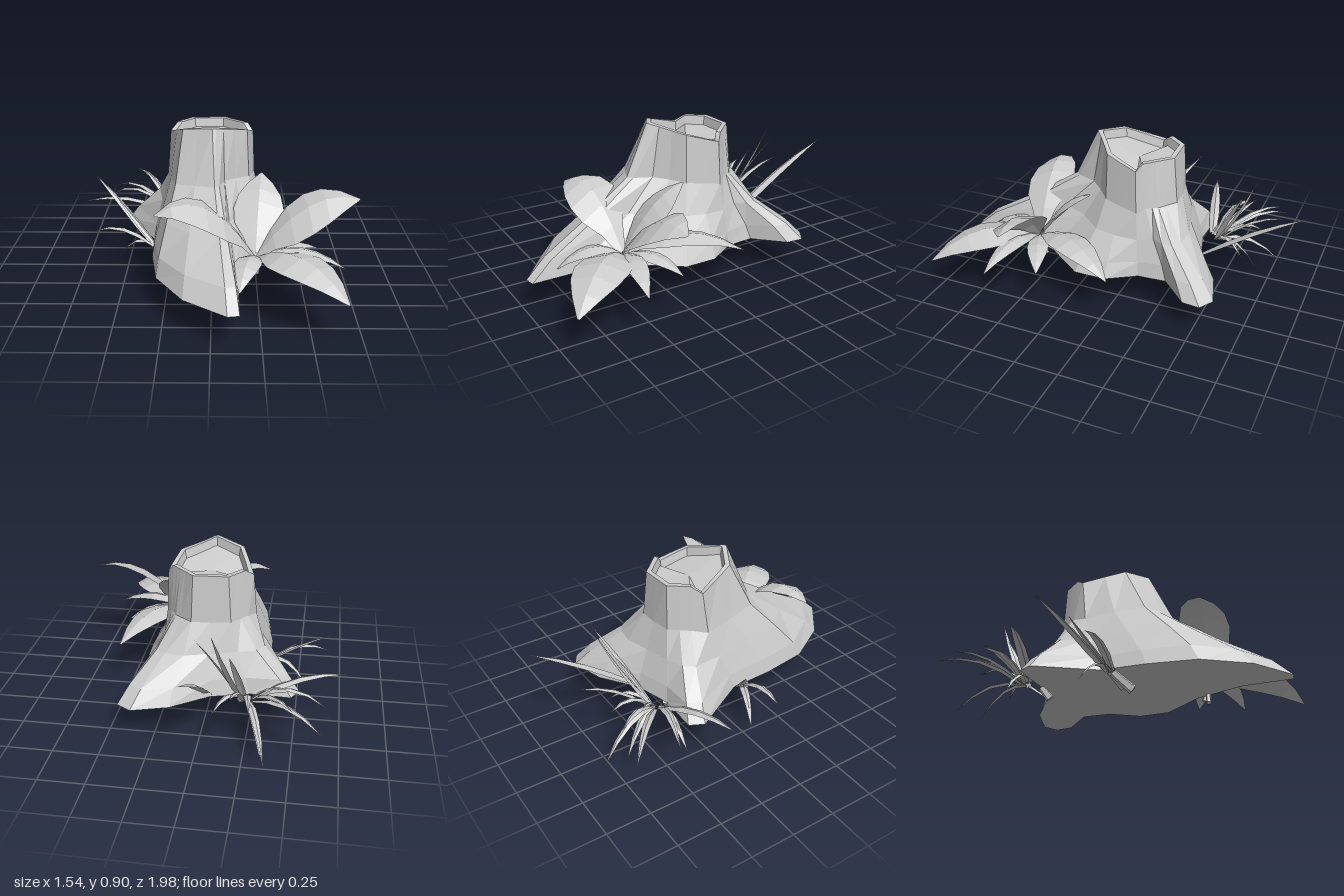
import * as THREE from 'three';

const material = new THREE.MeshStandardMaterial({ color: 0xcccccc, flatShading: true, side: THREE.DoubleSide });
const GROUND = 0.19;

function makeMesh(name, positions, indices) {
  const g = new THREE.BufferGeometry();
  g.setAttribute('position', new THREE.Float32BufferAttribute(positions, 3));
  g.setIndex(indices);
  g.computeVertexNormals();
  const mesh = new THREE.Mesh(g, material);
  mesh.name = name;
  return mesh;
}

// Side columns of the trunk, from the front root round by +x:
// ground x, z, rim x, z, and how quickly the slope pulls in to the trunk
const columns = [
  [0.14, 0.98, 0.02, 0.21, 3.0], [0.14, 0.70, 0.06, 0.175, 3.8], [0.23, 0.42, 0.12, 0.13, 4.0],
  [0.39, 0.20, 0.19, 0.08, 4.4], [0.39, 0.02, 0.21, 0.00, 4.2], [0.29, -0.14, 0.23, -0.10, 2.8],
  [0.28, -0.30, 0.20, -0.13, 3.4], [0.43, -0.45, 0.17, -0.16, 4.2], [0.44, -0.55, 0.15, -0.18, 4.0],
  [0.36, -0.60, 0.12, -0.21, 4.2], [0.16, -0.54, 0.07, -0.26, 4.0], [-0.04, -0.40, -0.02, -0.255, 2.8],
  [-0.25, -0.34, -0.12, -0.25, 3.4], [-0.48, -0.35, -0.16, -0.20, 4.3], [-0.52, -0.27, -0.20, -0.15, 4.3],
  [-0.34, 0.05, -0.24, -0.10, 2.8], [-0.33, 0.30, -0.20, 0.02, 2.2], [-0.29, 0.57, -0.16, 0.13, 2.0],
  [-0.14, 0.82, -0.08, 0.175, 2.5], [0.08, 0.99, 0.00, 0.22, 2.8],
];
const rimHeight = z => (z < -0.11 ? 0.84 : 0.8 + 0.3 * Math.max(0, z + 0.1));

function createStump() {
  const stump = new THREE.Group();
  stump.name = 'stump';
  const n = columns.length;
  const pos = [], idx = [];
  // Outer rings: steep at the ground, sweeping in over the roots, upright at the rim
  for (const u of [0, 0.14, 0.35, 0.6, 1]) {
    for (const [bx, bz, tx, tz, p] of columns) {
      const f = Math.pow(1 - Math.pow(u, 1.5), p);
      pos.push(tx + (bx - tx) * f, GROUND + (rimHeight(tz) - GROUND) * u, tz + (bz - tz) * f);
    }
  }
  // Rim thickness and the shallow hollow inside
  for (const [scale, drop] of [[0.88, 0], [0.84, 0.05]]) {
    for (const [, , tx, tz] of columns) {
      pos.push(tx * scale, rimHeight(tz) - drop, -0.03 + (tz + 0.03) * scale);
    }
  }
  const rings = pos.length / 3 / n;
  for (let r = 0; r < rings - 1; r++) {
    for (let i = 0; i < n; i++) {
      const a = r * n + i, b = r * n + (i + 1) % n;
      idx.push(a, b, b + n, a, b + n, a + n);
    }
  }
  const centre = pos.length / 3;
  pos.push(0, 0.78, -0.03);
  for (let i = 0; i < n; i++) idx.push((rings - 1) * n + i, (rings - 1) * n + (i + 1) % n, centre);
  stump.add(makeMesh('trunkAndRoots', pos, idx));

  // Flat underside
  const outline = new THREE.Shape(columns.map(c => new THREE.Vector2(c[0], c[1])));
  const underside = new THREE.Mesh(new THREE.ShapeGeometry(outline).rotateX(Math.PI / 2), material);
  underside.position.y = GROUND;
  underside.name = 'underside';
  stump.add(underside);
  return stump;
}

// Arched ribbon folded along its midrib; profile gives the relative width at each
// station, roll tips the ribbon sideways
function blade(name, base, tip, arch, width, profile, fold, roll = 0) {
  const a = new THREE.Vector3(...base), c = new THREE.Vector3(...tip);
  const b = a.clone().lerp(c, 0.5).add(new THREE.Vector3(0, arch, 0));
  const curve = new THREE.QuadraticBezierCurve3(a, b, c);
  const side = new THREE.Vector3(-(c.z - a.z), 0, c.x - a.x).normalize();
  const pos = [], idx = [];
  profile.forEach((w, i) => {
    const p = curve.getPoint(i / (profile.length - 1));
    const half = w * width / 2;
    for (const s of [-1, 0, 1]) {
      pos.push(p.x + side.x * half * s, p.y + half * (s * roll - Math.abs(s) * fold), p.z + side.z * half * s);
    }
    if (i > 0) {
      for (const k of [0, 1]) {
        const q = (i - 1) * 3 + k;
        idx.push(q, q + 1, q + 4, q, q + 4, q + 3);
      }
    }
  });
  return makeMesh(name, pos, idx);
}

// Short stalk reaching below the ground
function stub(from, to, radius) {
  const a = new THREE.Vector3(...from), d = new THREE.Vector3(...to).sub(a);
  const mesh = new THREE.Mesh(new THREE.CylinderGeometry(radius, radius * 0.8, d.length(), 5), material);
  mesh.position.copy(a).addScaledVector(d, 0.5);
  mesh.quaternion.setFromUnitVectors(new THREE.Vector3(0, 1, 0), d.normalize());
  mesh.name = 'stalk';
  return mesh;
}

const LEAF = [0.12, 0.5, 0.92, 1, 0.85, 0.5, 0.04];
const GRASS = [0.6, 1, 0.9, 0.6, 0.04];

function createLeafyPlant() {
  const plant = new THREE.Group();
  plant.name = 'leafyPlant';
  // tip, arch, width, roll
  const leaves = [
    [[-0.29, 0.545, 0.59], 0.31, 0.28, 0.25],
    [[0.27, 0.63, 0.15], 0.14, 0.27, 0],
    [[0.77, 0.58, 0.43], 0.24, 0.27, -0.45],
    [[0.54, 0.29, -0.06], 0.22, 0.2, 0],
    [[0.66, 0.24, 0.96], 0.24, 0.29, 0],
    [[0.14, 0.24, 0.84], 0.16, 0.14, 0],
    [[0.58, 0.26, 0.34], 0.12, 0.12, 0],
    [[0.69, 0.26, 0.6], 0.16, 0.12, 0],
  ];
  for (const [tip, arch, width, roll] of leaves) {
    plant.add(blade('broadLeaf', [0.23, 0.28, 0.5], tip, arch, width, LEAF, 0.3, roll));
  }
  plant.add(stub([0.24, 0.3, 0.48], [0.17, 0.13, 0.5], 0.015));
  plant.add(stub([0.24, 0.3, 0.48], [0.24, 0.17, 0.46], 0.015));
  return plant;
}

function createGrass(name, base, blades) {
  const tuft = new THREE.Group();
  tuft.name = name;
  for (const [tip, arch, width] of blades) {
    // Spread the roots slightly towards each tip
    const root = [base[0] + (tip[0] - base[0]) * 0.1, base[1], base[2] + (tip[2] - base[2]) * 0.1];
    tuft.add(blade('grassBlade', root, tip, arch, width, GRASS, 0.5));
  }
  return tuft;
}

export function createModel() {
  const model = new THREE.Group();
  model.name = 'stumpWithPlants';
  model.add(createStump(), createLeafyPlant());

  // Dense tuft behind the stump
  const backTuft = createGrass('backGrass', [-0.24, 0.21, -0.4], [
    [[-0.65, 0.24, -0.76], 0.14, 0.045], [[-0.5, 0.36, -0.75], 0.12, 0.045],
    [[-0.37, 0.05, -0.8], 0.16, 0.045], [[-0.2, 0.45, -0.83], 0.1, 0.045],
    [[-0.09, 0.7, -0.68], -0.06, 0.05], [[0, 0.66, -0.64], 0.04, 0.045],
    [[-0.67, 0.25, -0.52], 0.18, 0.045], [[-0.77, 0.31, -0.26], 0.1, 0.06],
    [[-0.53, 0.07, -0.39], 0.14, 0.045], [[-0.34, 0, -0.65], 0.14, 0.045],
    [[-0.17, 0.55, -0.6], 0.04, 0.05], [[-0.28, 0.3, -0.7], 0.14, 0.045],
    [[-0.45, 0.4, -0.6], 0.06, 0.045], [[-0.08, 0.22, -0.62], 0.14, 0.04],
  ]);
  backTuft.add(stub([-0.23, 0.19, -0.34], [-0.2, 0.13, -0.3], 0.025));
  model.add(backTuft);
  model.add(createGrass('tallGrass', [-0.04, 0.22, -0.34], [[[0.02, 0.6, -0.99], 0.06, 0.075]]));

  // Small tuft at the side
  const sideTuft = createGrass('sideGrass', [-0.3, 0.18, 0.12], [
    [[-0.69, 0.5, -0.17], 0.04, 0.055], [[-0.67, 0.26, 0.1], 0.12, 0.05],
    [[-0.55, 0.06, 0.02], 0.14, 0.045], [[-0.56, 0.42, -0.04], 0, 0.04],
  ]);
  sideTuft.add(stub([-0.31, 0.18, 0.11], [-0.25, 0.09, 0.2], 0.028));
  sideTuft.add(stub([-0.28, 0.2, 0.08], [-0.2, 0.13, 0.13], 0.022));
  model.add(sideTuft);
  return model;
}
